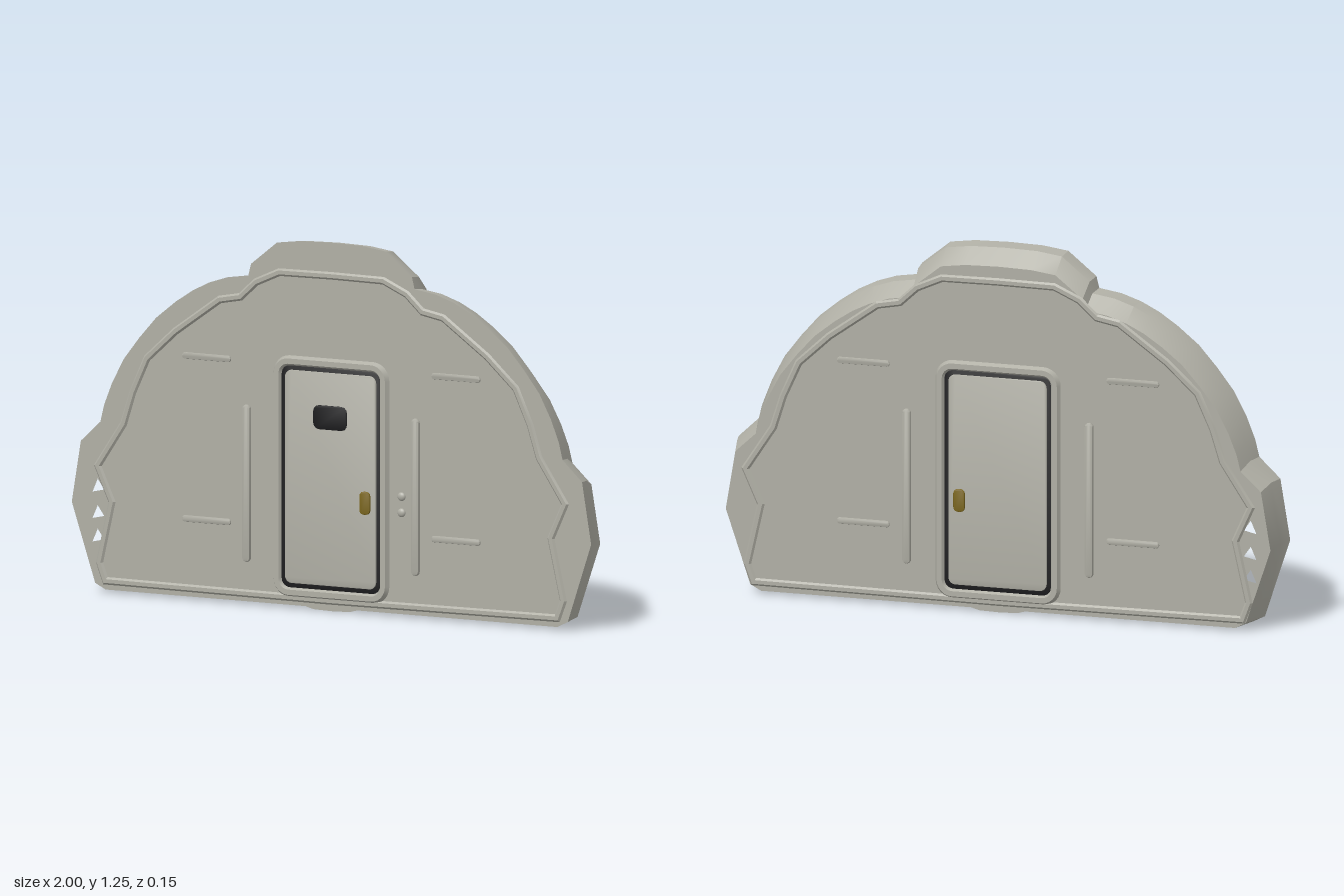
import * as THREE from 'three';
import { toCreasedNormals } from 'three/addons/utils/BufferGeometryUtils.js';

const FRONT = 0.057, BACK = -0.06;

const mat = (name, color) => {
  const m = new THREE.MeshStandardMaterial({ color });
  m.name = name;
  return m;
};

const v2 = (list) => list.map(([x, y]) => new THREE.Vector2(x, y));

// Right half (bottom to top) mirrored into a closed counter-clockwise outline
function mirrored(half) {
  const left = half.filter(([x]) => x > 0).reverse().map(([x, y]) => [-x, y]);
  return v2([...half, ...left]);
}

// Mitred offset of a closed counter-clockwise outline; positive d moves outwards
function offset(pts, d) {
  const n = pts.length;
  return pts.map((p, i) => {
    const a = p.clone().sub(pts[(i + n - 1) % n]).normalize();
    const b = pts[(i + 1) % n].clone().sub(p).normalize();
    const na = new THREE.Vector2(a.y, -a.x), nb = new THREE.Vector2(b.y, -b.x);
    const m = na.clone().add(nb).normalize();
    return p.clone().addScaledVector(m, d / Math.max(0.5, m.dot(na)));
  });
}

// Skin between closed rings of [points, z]
function loft(rings, crease = 0.5) {
  const pos = [], idx = [], n = rings[0][0].length;
  for (const [pts, z] of rings) for (const p of pts) pos.push(p.x, p.y, z);
  for (let r = 0; r < rings.length - 1; r++) {
    for (let i = 0; i < n; i++) {
      const j = (i + 1) % n, a = r * n, b = a + n;
      idx.push(a + i, b + i, a + j, a + j, b + i, b + j);
    }
  }
  const g = new THREE.BufferGeometry();
  g.setAttribute('position', new THREE.Float32BufferAttribute(pos, 3));
  g.setIndex(idx);
  return toCreasedNormals(g, crease);
}

// Raised bead following an outline
const bead = (pts, z, w, h) => loft([
  [offset(pts, -w), z], [offset(pts, -w * 0.5), z + h],
  [offset(pts, w * 0.5), z + h], [offset(pts, w), z],
], 0.3);

// Rounded rectangle outline, counter-clockwise
function roundRect(x0, y0, x1, y1, r, seg = 6) {
  const out = [];
  [[x1 - r, y0 + r, -0.5], [x1 - r, y1 - r, 0], [x0 + r, y1 - r, 0.5], [x0 + r, y0 + r, 1]]
    .forEach(([cx, cy, start]) => {
      for (let k = 0; k <= seg; k++) {
        const a = (start + 0.5 * k / seg) * Math.PI;
        out.push(new THREE.Vector2(cx + r * Math.cos(a), cy + r * Math.sin(a)));
      }
    });
  return out;
}

// Flat-topped plate with a softened rim
function plate(pts, z, h, bevel = 0.002) {
  const g = new THREE.ExtrudeGeometry(new THREE.Shape(pts), {
    depth: h - bevel, bevelEnabled: true, bevelThickness: bevel,
    bevelSize: bevel, bevelOffset: -bevel, bevelSegments: 2,
  });
  return toCreasedNormals(g.translate(0, 0, z), 0.6);
}

export function createModel() {
  const model = new THREE.Group();
  model.name = 'domeDoorWall';
  const wall = mat('wallGrey', 0xb0afa5);
  const black = mat('sealBlack', 0x1c1c1e);
  const gold = mat('handleBrass', 0x7d681f);

  const add = (parent, name, geo, material) => {
    const m = new THREE.Mesh(geo, material);
    m.name = name;
    parent.add(m);
    return m;
  };

  // Outer silhouette of the wall
  const outline = mirrored([
    [0, 0], [0.07, 0.002], [0.1, 0.01], [0.87, 0.01], [0.91, 0.03], [1, 0.3], [0.965, 0.51],
    [0.89, 0.58], [0.875, 0.64], [0.845, 0.715], [0.8, 0.8], [0.74, 0.877], [0.675, 0.95],
    [0.6, 1.01], [0.535, 1.053], [0.47, 1.085], [0.4, 1.108], [0.32, 1.12], [0.31, 1.16],
    [0.21, 1.24], [0.12, 1.252], [0, 1.255],
  ]);
  const shrink = (sx, sy) => outline.map((p) =>
    new THREE.Vector2(p.x * sx, p.y > 0.1 ? p.y * sy : p.y));
  const middle = shrink(0.985, 0.994), rear = shrink(0.97, 0.952);
  add(model, 'wallRim', loft([[outline, FRONT], [middle, 0], [rear, BACK]]), wall);

  // Zigzag trim just inside the silhouette
  const trim = mirrored([
    [0, 0.035], [0.87, 0.04], [0.893, 0.1], [0.845, 0.31], [0.9, 0.43], [0.8, 0.58],
    [0.765, 0.69], [0.71, 0.81], [0.6, 0.91], [0.43, 1.03], [0.35, 1.045],
    [0.29, 1.1], [0.2, 1.14], [0, 1.142],
  ]);

  const opening = roundRect(-0.205, 0.055, 0.205, 0.842, 0.045);
  const seal = roundRect(-0.192, 0.07, 0.192, 0.828, 0.035);
  const door = roundRect(-0.175, 0.086, 0.175, 0.812, 0.025);

  // Front (s = 1) and back (s = -1) carry the same relief
  for (const s of [1, -1]) {
    const face = new THREE.Group();
    face.name = s > 0 ? 'frontFace' : 'backFace';
    if (s < 0) face.rotation.y = Math.PI;
    model.add(face);
    const z = s > 0 ? FRONT : -BACK;

    // Wall surface with small torn gaps near one side
    const shape = new THREE.Shape(s > 0 ? outline : rear);
    for (const y of [0.17, 0.25, 0.34]) {
      shape.holes.push(new THREE.Path(v2([
        [-0.92 * s, y], [-0.875 * s, y + 0.01], [-0.9 * s, y + 0.045],
      ])));
    }
    add(face, 'wallSurface', new THREE.ShapeGeometry(shape).translate(0, 0, z), wall);
    add(face, 'edgeTrim', bead(trim, z, 0.013, 0.007), wall);

    // Door with frame and seal
    add(face, 'doorFrame', bead(opening, z, 0.018, 0.015), wall);
    add(face, 'doorSeal', plate(seal, z, 0.004, 0.001), black);
    add(face, 'doorPanel', plate(door, z, 0.009), wall);
    const hx = 0.135 * s;
    add(face, 'doorHandle',
      plate(roundRect(hx - 0.02, 0.34, hx + 0.02, 0.418, 0.015, 3), z + 0.008, 0.008), gold);

    // Upright bars and horizontal ribs on both sides of the door
    for (const side of [1, -1]) {
      const bx = 0.325 * side, rx = 0.48 * side;
      add(face, 'uprightBar',
        plate(roundRect(bx - 0.015, 0.145, bx + 0.015, 0.68, 0.0145), z, 0.012, 0.006), wall);
      for (const y of [0.275, 0.83]) {
        add(face, 'horizontalRib',
          plate(roundRect(rx - 0.094, y - 0.011, rx + 0.094, y + 0.011, 0.0105), z, 0.006, 0.004), wall);
      }
    }

    // Window and call buttons on the front only
    if (s > 0) {
      add(face, 'doorWindow',
        plate(roundRect(-0.065, 0.618, 0.065, 0.7, 0.022, 3), z + 0.008, 0.003, 0.001), black);
      for (const y of [0.355, 0.41]) {
        const b = add(face, 'callButton', new THREE.SphereGeometry(0.015, 16, 10), wall);
        b.position.set(0.27, y, z);
        b.scale.z = 0.6;
      }
    }
  }
  return model;
}
